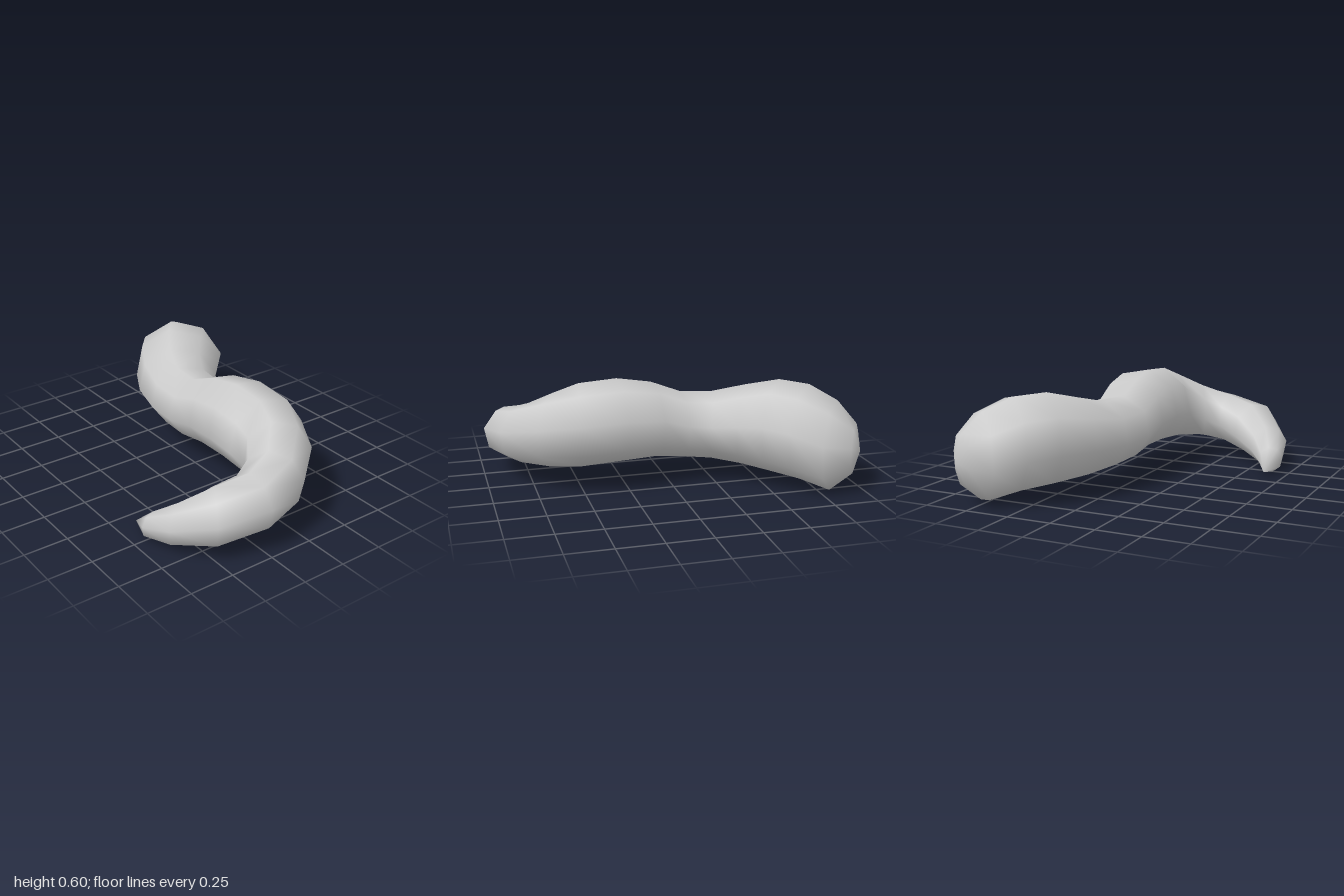
import * as THREE from 'three';

const SIDES = 8;
const PHASE = 0.2;

// Spine stations from tail to head: x, y, z, half width, half height
const stations = [
  [-0.635, 0.075, 0.49, 0.07, 0.075],
  [-0.575, 0.13, 0.63, 0.115, 0.115],
  [-0.44, 0.2, 0.77, 0.17, 0.155],
  [-0.245, 0.245, 0.83, 0.165, 0.155],
  [-0.07, 0.285, 0.78, 0.17, 0.17],
  [0.06, 0.33, 0.65, 0.19, 0.205],
  [0.11, 0.36, 0.5, 0.23, 0.23],
  [0.115, 0.375, 0.28, 0.235, 0.23],
  [0.1, 0.36, 0.08, 0.215, 0.21],
  [0.085, 0.315, -0.09, 0.2, 0.185],
  [0.11, 0.305, -0.26, 0.21, 0.19],
  [0.18, 0.315, -0.43, 0.24, 0.225],
  [0.285, 0.325, -0.58, 0.265, 0.26],
  [0.395, 0.31, -0.71, 0.27, 0.265],
  [0.51, 0.255, -0.835, 0.225, 0.25],
  [0.575, 0.25, -0.93, 0.11, 0.14],
];
const tailTip = [-0.64, 0.03, 0.35];
const headTip = [0.595, 0.24, -0.955];

function buildBody() {
  const positions = [];
  const index = [];
  const centers = [tailTip, ...stations, headTip].map(p => new THREE.Vector3(p[0], p[1], p[2]));
  const up = new THREE.Vector3(0, 1, 0);

  // Upright rings, each turned across the direction of the spine
  stations.forEach(([x, y, z, w, h], i) => {
    const along = centers[i + 2].clone().sub(centers[i]);
    const across = along.cross(up).normalize();
    for (let j = 0; j < SIDES; j++) {
      const a = PHASE + (j / SIDES) * Math.PI * 2;
      const c = Math.cos(a) * w;
      positions.push(x + across.x * c, y + Math.sin(a) * h, z + across.z * c);
    }
  });
  const tail = stations.length * SIDES;
  const head = tail + 1;
  positions.push(...tailTip, ...headTip);

  // Skin between neighbouring rings, closed by a fan at each end
  const last = stations.length - 1;
  for (let j = 0; j < SIDES; j++) {
    const k = (j + 1) % SIDES;
    for (let i = 0; i < last; i++) {
      const a = i * SIDES + j, b = i * SIDES + k;
      index.push(a, a + SIDES, b, b, a + SIDES, b + SIDES);
    }
    index.push(tail, j, k);
    index.push(last * SIDES + j, head, last * SIDES + k);
  }

  const geometry = new THREE.BufferGeometry();
  geometry.setAttribute('position', new THREE.Float32BufferAttribute(positions, 3));
  geometry.setIndex(index);
  geometry.computeVertexNormals();
  return geometry;
}

export function createModel() {
  const group = new THREE.Group();
  const body = new THREE.Mesh(buildBody(), new THREE.MeshStandardMaterial({ color: 0xcccccc }));
  body.name = 'curvedBody';
  group.add(body);
  return group;
}
